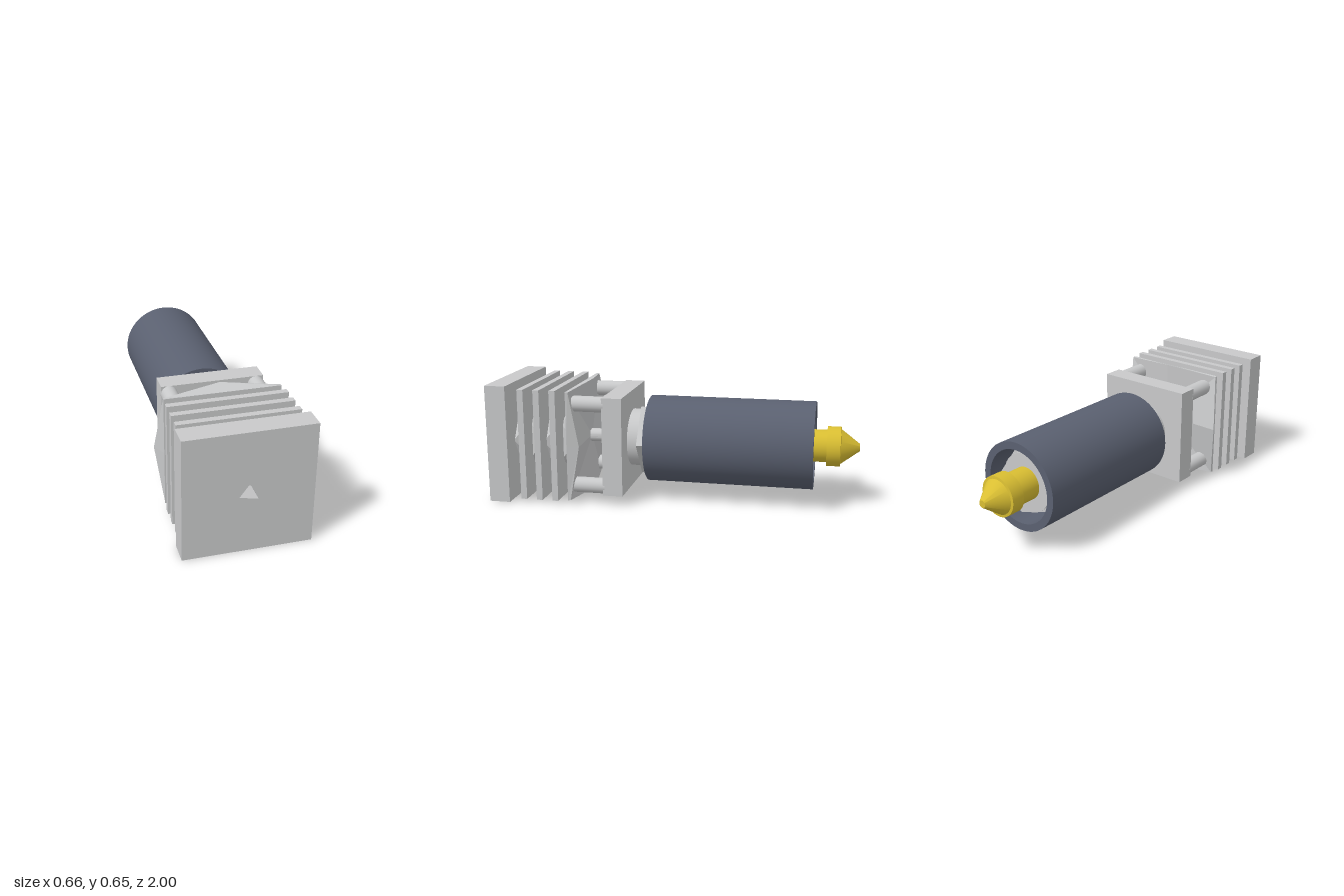
import * as THREE from 'three';
import { toCreasedNormals } from 'three/addons/utils/BufferGeometryUtils.js';

const CX = 0.007, CY = 0.326, BORE = 0.031;

export function createModel() {
  const model = new THREE.Group();
  const assembly = new THREE.Group();
  assembly.name = 'extruderAssembly';
  assembly.position.set(CX, CY, 0);
  model.add(assembly);

  const material = (name, color) => {
    const m = new THREE.MeshStandardMaterial({ color });
    m.name = name;
    return m;
  };
  const aluminium = material('aluminium', 0xc8c9ca);
  const slate = material('slateSleeve', 0x5a6070);
  const brass = material('brass', 0xd9be32);

  const add = (name, geometry, mat) => {
    const mesh = new THREE.Mesh(geometry, mat);
    mesh.name = name;
    assembly.add(mesh);
    return mesh;
  };

  // Turned part along z from [radius, z] points, listed from low z up the outside
  const turned = (points, sides = 48, crease = 0.5) => {
    const g = new THREE.LatheGeometry(points.map(([r, z]) => new THREE.Vector2(r, z)), sides);
    g.rotateX(Math.PI / 2);
    return toCreasedNormals(g, crease);
  };
  const tube = (rOut, rIn, z0, z1, sides, crease) =>
    turned([[rIn, z0], [rOut, z0], [rOut, z1], [rIn, z1], [rIn, z0]], sides, crease);

  // Square plate with a hole on the axis
  const plate = (half, z0, z1, hole) => {
    const shape = new THREE.Shape([[-1, -1], [1, -1], [1, 1], [-1, 1]]
      .map(([x, y]) => new THREE.Vector2(x * half, y * half)));
    shape.holes.push(hole);
    const g = new THREE.ExtrudeGeometry(shape, { depth: z1 - z0, bevelEnabled: false, curveSegments: 12 });
    return g.translate(0, 0, z0);
  };
  const roundHole = () => new THREE.Path().absarc(0, 0, BORE, 0, Math.PI * 2, true);

  // Faceted skin through equal loops of points, ordered counter-clockwise, z rising
  const faceted = (loops, cap) => {
    const pos = [];
    const tri = (a, b, c) => pos.push(...a, ...b, ...c);
    for (let k = 0; k + 1 < loops.length; k++) {
      const a = loops[k], b = loops[k + 1], n = a.length;
      for (let i = 0; i < n; i++) {
        const j = (i + 1) % n;
        tri(a[i], a[j], b[i]);
        tri(a[j], b[j], b[i]);
      }
    }
    if (cap) cap(tri);
    const g = new THREE.BufferGeometry();
    g.setAttribute('position', new THREE.Float32BufferAttribute(pos, 3));
    g.computeVertexNormals();
    return g;
  };

  // Front plate with a triangular feed opening
  const triangle = new THREE.Path([[0.001, 0.051], [0.045, -0.038], [-0.049, -0.017]]
    .map(([x, y]) => new THREE.Vector2(x, y)));
  add('frontPlate', plate(0.325, 0.885, 1, triangle), aluminium);
  add('feedSeat', tube(0.09, BORE, 0.86, 0.884, 24), aluminium);

  // Cooling fins
  for (const z of [0.61, 0.7, 0.79]) add('coolingFin', plate(0.307, z, z + 0.034, roundHole()), aluminium);

  // Faceted core, each loop turned half a step from the last
  const coreLoops = [0.53, 0.627, 0.717, 0.806, 0.89].map((z, k) =>
    Array.from({ length: 6 }, (_, i) => {
      const a = (i + k * 0.5) * Math.PI / 3;
      return [0.212 * Math.cos(a), 0.212 * Math.sin(a), z];
    }));
  add('heatSinkCore', faceted(coreLoops), aluminium);

  // Rear fin: flat front, rear edges rising to a ridge at the middle of each side
  const h = 0.302;
  const rearFront = [[h, 0], [h, h], [0, h], [-h, h], [-h, 0], [-h, -h], [0, -h], [h, -h]]
    .map(([x, y]) => [x, y, 0.555]);
  const rearBack = [
    [0.285, 0, 0.49], [0.3, 0.3, 0.54], [0, 0.325, 0.487], [-0.3, 0.3, 0.54],
    [-0.34, 0, 0.485], [-0.3, -0.3, 0.54], [0, -0.312, 0.487], [0.3, -0.3, 0.54],
  ];
  add('rearFin', faceted([rearBack, rearFront], (tri) => {
    for (let i = 0; i < 8; i++) {
      const j = (i + 1) % 8;
      tri([0, 0, 0.5], rearBack[j], rearBack[i]);
      tri([0, 0, 0.555], rearFront[i], rearFront[j]);
    }
  }).scale(1, 1, 1), aluminium);

  // Mounting block with four corner posts and the central throat
  add('mountingBlock', plate(0.271, 0.255, 0.365, roundHole()), aluminium);
  for (const x of [-1, 1]) for (const y of [-1, 1]) {
    const post = new THREE.CylinderGeometry(0.043, 0.043, 0.18, 24).rotateX(Math.PI / 2);
    add('cornerPost', post, aluminium).position.set(x * 0.23, y * 0.228, 0.445);
  }
  add('throat', tube(0.037, BORE, 0.36, 0.52, 24), aluminium);

  // Heater barrel, its faceted liner and the outer sleeve
  add('heaterBarrel', tube(0.16, BORE, -0.7, 0.256), aluminium);
  const liner = tube(0.198, 0.12, -0.69, 0.195, 5, 0.1);
  liner.rotateZ(Math.PI / 2);
  add('heaterLiner', liner, aluminium);
  add('outerSleeve', tube(0.24, 0.2, -0.76, 0.15, 64), slate);

  // Nozzle
  add('nozzle', turned([
    [0, -1], [0.02, -1], [0.094, -0.9], [0.108, -0.898], [0.108, -0.825],
    [0.088, -0.825], [0.088, -0.68], [0, -0.68],
  ]), brass);

  return model;
}
